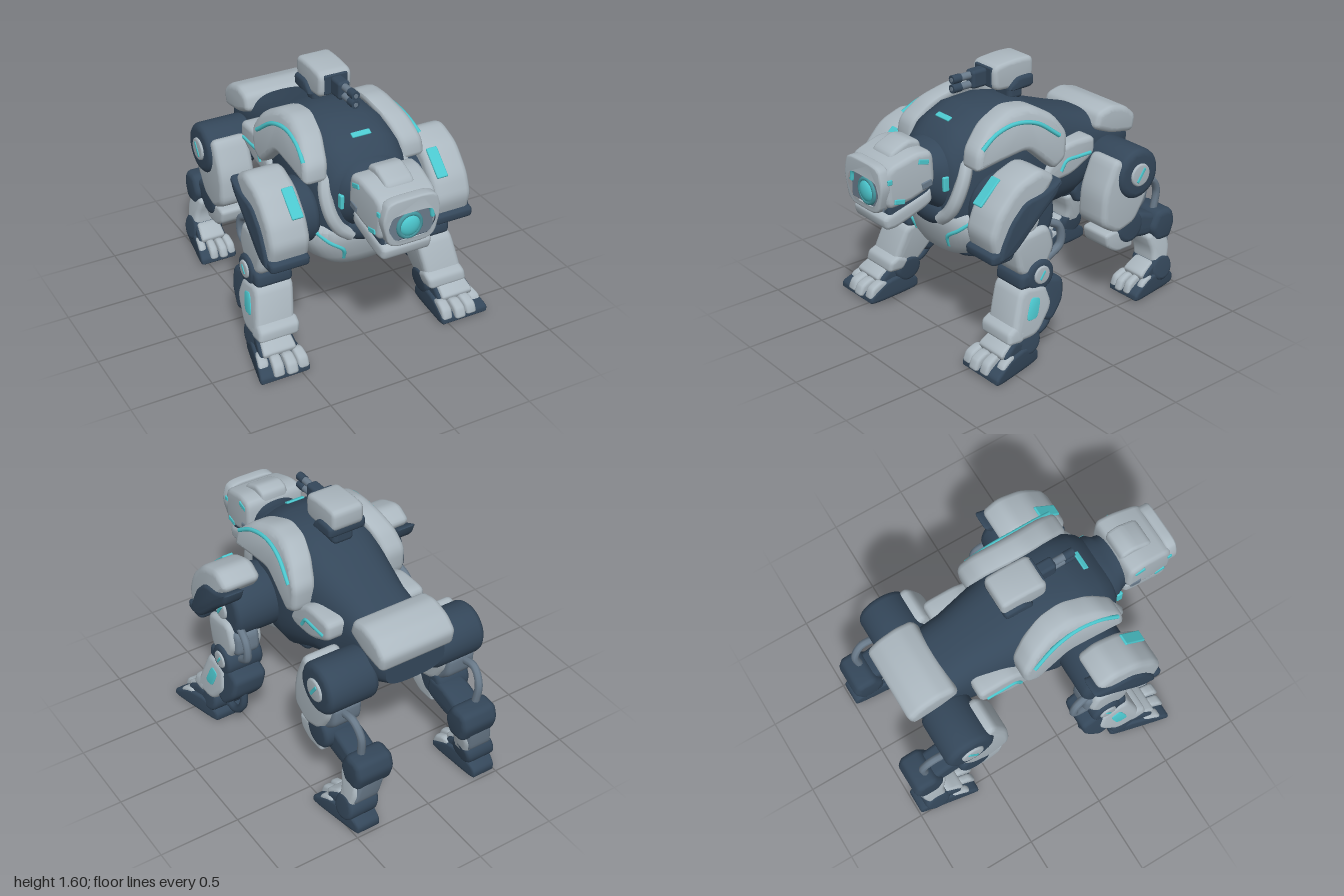
import * as THREE from 'three';
import { toCreasedNormals } from 'three/addons/utils/BufferGeometryUtils.js';
import { RoundedBoxGeometry } from 'three/addons/geometries/RoundedBoxGeometry.js';

const material = (name, color) => Object.assign(new THREE.MeshStandardMaterial({ color }), { name });

export function createModel() {
  const root = new THREE.Group();
  root.name = 'robotBeast';
  const light = material('paleArmour', 0xacb8c0), dark = material('navyFrame', 0x34475a);
  const mid = material('steelGrey', 0x6a7b8b), teal = material('tealGlow', 0x4cc8cf);
  const deep = material('deepTeal', 0x4597a0);

  // ---------- helpers ----------
  const add = (name, geo, mat) => {
    const m = new THREE.Mesh(geo, mat);
    m.name = name;
    root.add(m);
  };
  const mirror = (geo) => {
    const g = geo.index ? geo.toNonIndexed() : geo.clone();
    g.scale(-1, 1, 1);
    for (const a of Object.values(g.attributes)) {
      const n = a.itemSize;
      for (let i = 0; i < a.count; i += 3) for (let k = 0; k < n; k++) {
        const p = (i + 1) * n + k, q = p + n, t = a.array[p];
        a.array[p] = a.array[q];
        a.array[q] = t;
      }
    }
    return g;
  };
  const pair = (name, geo, mat) => {
    add(name + 'Left', geo, mat);
    add(name + 'Right', mirror(geo), mat);
  };
  const roundPoly = (pts, path = new THREE.Shape()) => {
    const v = pts.map(p => new THREE.Vector2(...p)), n = v.length;
    v.forEach((p, i) => {
      const a = p.clone().lerp(v[(i + n - 1) % n], 0.3), b = p.clone().lerp(v[(i + 1) % n], 0.3);
      if (i) path.lineTo(a.x, a.y); else path.moveTo(a.x, a.y);
      path.quadraticCurveTo(p.x, p.y, b.x, b.y);
    });
    return path;
  };
  const extrude = (shape, d0, d1, b, seg = 4) => new THREE.ExtrudeGeometry(shape, {
    depth: d1 - d0 - 2 * b, bevelThickness: b, bevelSize: b, bevelOffset: -b,
    bevelSegments: 3, curveSegments: seg,
  }).translate(0, 0, d0 + b);
  const warped = (g, warp) => {
    const p = g.attributes.position;
    if (warp) for (let i = 0; i < p.count; i++) p.setX(i, warp(p.getX(i), p.getY(i), p.getZ(i)));
    return toCreasedNormals(g, 0.75);
  };
  // side profile of [z, y] points, running from x0 to x1
  const slab = (pts, x0, x1, b = 0.028, warp) =>
    warped(extrude(roundPoly(pts), -x1, -x0, b).rotateY(-Math.PI / 2), warp);
  const disc = (z, y, r, x0, x1, b = 0.03, warp) =>
    warped(extrude(new THREE.Shape().absarc(z, y, r, 0, Math.PI * 2), -x1, -x0, b, 14).rotateY(-Math.PI / 2), warp);
  const tube = (pts, r) => new THREE.TubeGeometry(
    new THREE.CatmullRomCurve3(pts.map(p => new THREE.Vector3(...p))), 28, r, 8);
  const rbox = (w, h, d, x, y, z, rx = 0, r = 0.03) =>
    new RoundedBoxGeometry(w, h, d, 3, Math.min(r, w / 2.1, h / 2.1, d / 2.1)).rotateX(rx).translate(x, y, z);
  // superellipse rings [at, centre, halfWidth, halfOther], stacked along z or y
  const loft = (rings, axis, e = 2.6, n = 40) => {
    const pos = [], idx = [], pw = (v) => Math.sign(v) * Math.abs(v) ** (2 / e);
    const put = (u, w, at) => (axis === 'z' ? pos.push(u, w, at) : pos.push(w, at, u));
    const rows = [[...rings[0].slice(0, 2), 0, 0], ...rings, [...rings.at(-1).slice(0, 2), 0, 0]];
    for (const [at, c, hw, ho] of rows) for (let i = 0; i <= n; i++) {
      const a = i / n * Math.PI * 2, p = pw(Math.cos(a)), q = pw(Math.sin(a));
      if (axis === 'z') put(p * hw, c + q * ho, at); else put(c + p * ho, q * hw, at);
    }
    for (let r = 0; r < rows.length - 1; r++) for (let i = 0; i < n; i++) {
      const a = r * (n + 1) + i, b = a + n + 1;
      idx.push(a, a + 1, b, a + 1, b + 1, b);
    }
    const g = new THREE.BufferGeometry();
    g.setAttribute('position', new THREE.Float32BufferAttribute(pos, 3));
    g.setIndex(idx);
    return toCreasedNormals(g, 0.8);
  };

  // ---------- torso ----------
  add('torso', loft([[-0.82, 0.95, 0.2, 0.1], [-0.72, 0.96, 0.24, 0.16], [-0.55, 0.95, 0.23, 0.22],
    [-0.4, 0.93, 0.24, 0.29], [-0.17, 0.965, 0.28, 0.335], [-0.05, 0.975, 0.31, 0.385],
    [0.1, 0.95, 0.33, 0.44], [0.3, 0.945, 0.33, 0.435], [0.45, 0.95, 0.29, 0.37],
    [0.53, 0.96, 0.25, 0.28], [0.57, 0.97, 0.2, 0.21]], 'z', 2.9), dark);
  add('keel', slab([[0.04, 0.62], [0.08, 0.47], [0.3, 0.45], [0.42, 0.5], [0.45, 0.62]], -0.15, 0.15, 0.03), dark);
  add('neck', loft([[0.48, 1.02, 0.22, 0.22], [0.58, 1.03, 0.21, 0.2], [0.61, 1.04, 0.18, 0.17], [0.7, 1.08, 0.15, 0.14]], 'z', 2.4), dark);
  add('chestPlate', loft([[0.52, 0.35, 0.16, 0.12], [0.55, 0.35, 0.22, 0.16], [0.62, 0.35, 0.31, 0.195],
    [0.72, 0.35, 0.345, 0.22], [0.8, 0.35, 0.34, 0.23], [0.83, 0.35, 0.31, 0.21]], 'y'), light);
  add('throat', new THREE.SphereGeometry(1, 32, 20).scale(0.19, 0.11, 0.09).translate(0, 0.82, 0.525), dark);
  pair('collar', tube([[0.2, 1.2, 0.42], [0.262, 1.07, 0.49], [0.25, 0.93, 0.54], [0.2, 0.84, 0.555], [0.13, 0.785, 0.56]], 0.042), light);
  pair('collarLamp', rbox(0.024, 0.09, 0.04, 0.207, 1.03, 0.58, 0, 0.009), teal);
  pair('chestStripe', tube([[0.31, 0.8, 0.475], [0.25, 0.74, 0.525], [0.17, 0.68, 0.545], [0.155, 0.61, 0.52]], 0.012), teal);
  add('chestLamp', rbox(0.12, 0.012, 0.035, 0, 1.335, 0.43, 0.45, 0.005), teal);

  // arched back armour curling inwards at the top
  const lean = (x, y) => x - 1.15 * Math.max(0, y - 1.15) ** 2;
  pair('backArch', slab([[0.5, 1.12], [0.48, 1.24], [0.36, 1.35], [0.18, 1.41], [0.03, 1.395], [-0.1, 1.32], [-0.18, 1.2],
    [-0.17, 1.04], [-0.08, 0.99], [0.02, 1.08], [0.12, 1.17], [0.3, 1.15]], 0.235, 0.388, 0.035, lean), light);
  pair('archStripe', tube([[0.45, 1.25], [0.34, 1.31], [0.19, 1.335], [0.04, 1.305], [-0.11, 1.2]]
    .map(([z, y]) => [lean(0.386, y), y, z]), 0.013), teal);
  pair('flankPlate', slab([[-0.03, 0.92], [-0.13, 1.05], [-0.23, 1.1], [-0.44, 1.1], [-0.44, 0.98], [-0.26, 0.89], [-0.08, 0.88]],
    0.18, 0.335), light);
  pair('flankStripe', tube([[0.334, 0.94, -0.17], [0.334, 0.995, -0.21], [0.334, 1.0, -0.3], [0.334, 1.0, -0.4]], 0.012), teal);
  add('rumpPlate', slab([[-0.52, 1.08], [-0.55, 1.18], [-0.66, 1.205], [-0.78, 1.17], [-0.86, 1.1], [-0.84, 0.99], [-0.66, 1.02]],
    -0.25, 0.25, 0.035), light);

  // ---------- head ----------
  const taper = (x, y, z) => x * (1 - 0.35 * (z - 0.65));
  add('skull', slab([[0.64, 1.04], [0.65, 1.25], [0.76, 1.26], [0.96, 1.2], [0.96, 0.96], [0.8, 0.98]], -0.2, 0.2, 0.03, taper), light);
  add('crest', slab([[0.65, 1.18], [0.66, 1.28], [0.74, 1.3], [0.86, 1.25], [0.88, 1.18]], -0.09, 0.09, 0.02), light);
  add('mouth', slab([[0.65, 0.95], [0.66, 1.08], [0.93, 1.0], [0.93, 0.88], [0.8, 0.88]], -0.165, 0.165, 0.02, taper), dark);
  add('jaw', slab([[0.64, 0.92], [0.65, 1.02], [0.72, 0.99], [0.97, 0.91], [0.95, 0.83], [0.88, 0.83]], -0.175, 0.175, 0.028, taper), light);
  const face = roundPoly([[-0.15, 1.22], [0.15, 1.22], [0.185, 1.1], [0.14, 0.93], [-0.14, 0.93], [-0.185, 1.1]]);
  face.holes.push(roundPoly([[-0.13, 1.14], [0.13, 1.14], [0.165, 1.05], [0.11, 0.955], [-0.11, 0.955], [-0.165, 1.05]], new THREE.Path()));
  add('faceFrame', toCreasedNormals(extrude(face, 0.93, 0.998, 0.012), 0.75), light);
  add('eyeSocket', rbox(0.3, 0.19, 0.01, 0, 1.045, 0.963, 0, 0.004), mid);
  add('eyeBrowGlow', tube([[-0.145, 1.05, 0.97], [-0.125, 1.115, 0.97], [0, 1.125, 0.97], [0.125, 1.115, 0.97], [0.145, 1.05, 0.97]], 0.014), teal);
  add('eyeRing', new THREE.TorusGeometry(0.07, 0.014, 10, 32).translate(0, 1.03, 0.968), deep);
  add('eyeLens', new THREE.SphereGeometry(0.066, 28, 16).scale(1, 1, 0.45).translate(0, 1.03, 0.967), teal);
  add('browLamp', rbox(0.11, 0.022, 0.014, 0, 1.203, 0.99, -0.2, 0.006), teal);
  pair('templeLamp', rbox(0.012, 0.03, 0.07, 0.195, 1.2, 0.72, -0.25, 0.005), teal);
  pair('cheekLamp', rbox(0.012, 0.03, 0.07, 0.183, 1.0, 0.88, -0.2, 0.005), teal);
  pair('frontLamp', rbox(0.012, 0.03, 0.03, 0.18, 1.13, 0.94, 0, 0.005), teal);
  pair('jawHinge', rbox(0.02, 0.045, 0.07, 0.192, 1.06, 0.7, 0.2, 0.009), mid);

  // ---------- back gun ----------
  add('gunBase', slab([[0.05, 1.42], [0.03, 1.46], [-0.02, 1.5], [-0.14, 1.5], [-0.14, 1.42]], -0.125, 0.125, 0.02), dark);
  add('gunPost', rbox(0.14, 0.1, 0.11, 0, 1.39, -0.05), dark);
  add('gunHousing', slab([[0.14, 1.44], [0.14, 1.59], [-0.03, 1.605], [-0.15, 1.6], [-0.15, 1.47], [-0.02, 1.43]], -0.105, 0.105, 0.025), light);
  add('gunFace', rbox(0.15, 0.12, 0.02, 0, 1.517, 0.135, 0, 0.009), dark);
  add('gunMount', rbox(0.075, 0.11, 0.11, 0, 1.515, 0.19, 0, 0.02), dark);
  for (const y of [1.485, 1.54]) {
    const barrel = (r, len, z) => new THREE.CylinderGeometry(r, r, len, 16).rotateX(Math.PI / 2).translate(0, y, z);
    add('barrel', barrel(0.022, 0.14, 0.29), mid);
    add('muzzle', barrel(0.026, 0.06, 0.34), dark);
    add('bore', barrel(0.013, 0.006, 0.37), mid);
  }

  // ---------- paws, shared by both leg pairs ----------
  const paw = (name, xc, hw, dz, toeLean) => {
    const fan = (x, y, z) => xc + (x - xc) * (0.62 + (z - dz - 0.3)) + toeLean * (z - dz - 0.6);
    const move = (pts, s = 0) => pts.map(([z, y]) => [z + dz + s, y]);
    pair(name + 'Sole', slab(move([[0.29, 0], [0.29, 0.07], [0.4, 0.13], [0.54, 0.12], [0.67, 0.055], [0.67, 0]]), xc - hw, xc + hw, 0.018, fan), dark);
    pair(name + 'Instep', slab(move([[0.36, 0.08], [0.38, 0.17], [0.48, 0.2], [0.57, 0.14], [0.57, 0.08]]), xc - hw * 0.85, xc + hw * 0.85, 0.025, fan), dark);
    pair(name + 'InstepPlate', slab(move([[0.46, 0.13], [0.44, 0.2], [0.5, 0.205], [0.59, 0.15], [0.58, 0.11]]), xc - hw * 0.72, xc + hw * 0.72, 0.018, fan), light);
    [-0.75, -0.25, 0.25, 0.75].forEach((t, i) => {
      const x = xc + t * hw, s = [-0.01, 0.012, 0, -0.055][i];
      pair(name + 'Toe', slab(move([[0.54, 0.04], [0.53, 0.11], [0.59, 0.135], [0.66, 0.105], [0.685, 0.04], [0.63, 0.025]], s),
        x - hw * 0.22, x + hw * 0.22, 0.018, fan), light);
    });
  };

  // ---------- front legs ----------
  const splay = (x, y) => x + 0.16 * Math.max(0, 0.5 - y);
  pair('shoulderJoint', disc(0.3, 0.87, 0.2, 0.28, 0.6, 0.04), dark);
  pair('shoulderHub', disc(0.3, 0.86, 0.065, 0.58, 0.615, 0.01), light);
  pair('shoulderHubLamp', rbox(0.01, 0.09, 0.02, 0.615, 0.86, 0.3, -0.6, 0.004), teal);
  pair('shoulderPad', slab([[0.57, 0.7], [0.61, 0.85], [0.56, 0.98], [0.43, 1.12], [0.26, 1.18], [0.14, 1.11], [0.24, 0.98], [0.44, 0.76]],
    0.405, 0.655, 0.04), light);
  pair('shoulderShield', slab([[0.11, 1.1], [0.14, 1.01], [0.26, 0.91], [0.46, 0.72], [0.57, 0.7], [0.55, 0.79], [0.48, 0.92], [0.38, 1.02], [0.24, 1.04]],
    0.54, 0.672, 0.022), dark);
  pair('shoulderTrim', slab([[0.61, 0.69], [0.615, 0.76], [0.43, 0.78], [0.46, 0.69]], 0.415, 0.662, 0.022), dark);
  pair('shoulderLamp', rbox(0.072, 0.19, 0.018, 0.47, 1.052, 0.498, -0.82, 0.008), teal);
  pair('upperArm', slab([[0.43, 0.78], [0.18, 0.82], [0.13, 0.67], [0.2, 0.54], [0.39, 0.54]], 0.42, 0.635, 0.03), light);
  pair('upperArmBack', slab([[0.24, 0.8], [0.12, 0.76], [0.11, 0.62], [0.22, 0.56]], 0.45, 0.61), mid);
  pair('elbow', disc(0.25, 0.52, 0.1, 0.41, 0.655, 0.025), dark);
  pair('elbowHub', disc(0.25, 0.53, 0.055, 0.64, 0.666, 0.008), light);
  pair('elbowHubLamp', rbox(0.01, 0.06, 0.015, 0.665, 0.53, 0.25, -0.6, 0.004), teal);
  pair('elbowFront', slab([[0.4, 0.46], [0.39, 0.56], [0.2, 0.58], [0.2, 0.46]], 0.415, 0.65), dark);
  pair('forearm', slab([[0.4, 0.48], [0.22, 0.47], [0.18, 0.33], [0.31, 0.18], [0.5, 0.18], [0.46, 0.32]], 0.41, 0.655, 0.03, splay), light);
  pair('forearmBack', slab([[0.22, 0.5], [0.075, 0.46], [0.09, 0.33], [0.19, 0.22], [0.3, 0.27], [0.25, 0.4]], 0.425, 0.645, 0.028, splay), dark);
  pair('forearmLamp', slab([[0.34, 0.42], [0.27, 0.4], [0.31, 0.29], [0.39, 0.29]], 0.65, 0.659, 0.002, splay), teal);
  pair('cuff', slab([[0.53, 0.18], [0.52, 0.25], [0.46, 0.28], [0.38, 0.24], [0.42, 0.17]], 0.395, 0.655, 0.025, splay), light);
  pair('ankle', disc(0.37, 0.16, 0.09, 0.4, 0.64, 0.025, splay), dark);
  paw('frontPaw', 0.605, 0.165, 0, 0.08);
  pair('armHose', tube([[0.57, 0.8, 0.14], [0.58, 0.75, 0.06], [0.58, 0.64, 0.05], [0.57, 0.57, 0.14]], 0.025), mid);
  pair('forearmHose', tube([[0.57, 0.36, 0.13], [0.58, 0.22, 0.13], [0.59, 0.14, 0.2], [0.59, 0.14, 0.33]], 0.025), dark);

  // ---------- rear legs ----------
  const drift = (x, y) => x + 0.18 * Math.max(0, 0.42 - y);
  pair('hip', disc(-0.62, 0.86, 0.16, 0.2, 0.535, 0.04), dark);
  pair('hipHub', disc(-0.62, 0.86, 0.072, 0.52, 0.548, 0.01), light);
  pair('hipHubLamp', rbox(0.01, 0.1, 0.02, 0.547, 0.86, -0.62, -0.6, 0.004), teal);
  pair('thigh', slab([[-0.45, 0.99], [-0.36, 0.78], [-0.35, 0.58], [-0.48, 0.5], [-0.62, 0.54], [-0.72, 0.7], [-0.72, 0.84], [-0.56, 0.94]],
    0.28, 0.515, 0.035), light);
  pair('thighBack', slab([[-0.6, 0.76], [-0.75, 0.78], [-0.74, 0.64], [-0.62, 0.54]], 0.3, 0.49), mid);
  pair('knee', disc(-0.59, 0.51, 0.105, 0.285, 0.51, 0.03), dark);
  pair('kneePad', slab([[-0.39, 0.51], [-0.41, 0.42], [-0.49, 0.37], [-0.62, 0.37], [-0.62, 0.44], [-0.5, 0.52]], 0.285, 0.5, 0.02), light);
  pair('shank', slab([[-0.56, 0.42], [-0.58, 0.56], [-0.72, 0.55], [-0.86, 0.5], [-0.94, 0.4], [-0.78, 0.37]], 0.28, 0.46), dark);
  pair('hock', slab([[-0.79, 0.42], [-0.85, 0.53], [-0.97, 0.52], [-1.0, 0.43], [-0.96, 0.32], [-0.84, 0.32]], 0.245, 0.49, 0.035), dark);
  pair('hockLeg', slab([[-0.77, 0.38], [-0.92, 0.4], [-0.96, 0.28], [-0.92, 0.15], [-0.8, 0.15], [-0.81, 0.26]], 0.27, 0.465, 0.028, drift), light);
  pair('hockLegBack', slab([[-0.87, 0.4], [-0.98, 0.4], [-0.95, 0.2], [-0.87, 0.2]], 0.285, 0.45, 0.02, drift), mid);
  pair('rearAnkle', disc(-0.87, 0.15, 0.085, 0.27, 0.47, 0.025, drift), dark);
  paw('rearPaw', 0.43, 0.125, -1.28, 0.05);
  pair('rearHose', tube([[0.42, 0.72, -0.72], [0.42, 0.73, -0.83], [0.41, 0.65, -0.89], [0.4, 0.5, -0.88]], 0.024), mid);

  return root;
}
